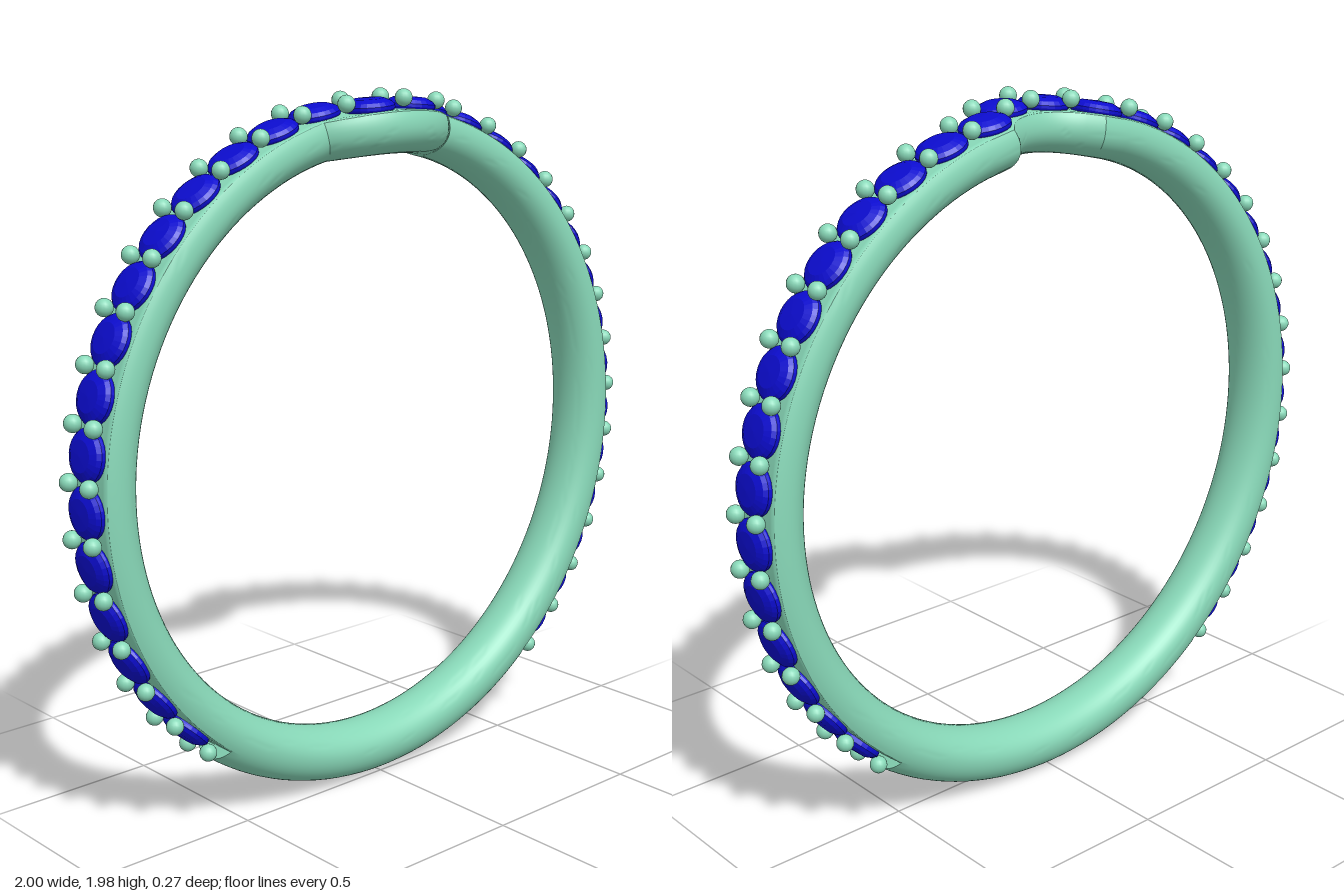
import * as THREE from 'three';
import { toCreasedNormals } from 'three/addons/utils/BufferGeometryUtils.js';

const CY = 0.985;       // height of the ring's centre
const RC = 0.8975;      // radius of the band's core line
const RS = 0.96;        // radius at which arc length s is measured
const Z0 = -0.045;      // plane of the straight band
const HALF = 0.0875;    // half width of the band
const SEAT = 0.0475;    // height of the flat seat above the core line
const BEND = 0.2;       // half length of the wishbone bend
const BR = 0.267;       // radius of the bend
const SEAT_END = THREE.MathUtils.degToRad(142.5) * RS;
const STEP = THREE.MathUtils.degToRad(8.8) * RS;

// Centre line of the band: s along the ring, z sideways, (ns, nz) sideways normal
function frame(s) {
  const a = Math.abs(s);
  if (a > BEND + 1e-6) return { z: Z0, ns: 0, nz: 1 };
  const t = Math.asin(s / BR);
  const z = Z0 + 0.09 - BR + BR * Math.cos(t);
  if (a > BEND - 1e-6) { // mitred corner
    const k = 1 / Math.cos(t / 2);
    return { z, ns: Math.sin(t / 2) * k, nz: 1 };
  }
  return { z, ns: Math.sin(t), nz: Math.cos(t) };
}

// Point at arc length s, sideways offset u and height h over the core line
function place(s, u, h) {
  const f = frame(s);
  const a = (s + u * f.ns) / RS;
  const r = RC + h;
  return new THREE.Vector3(r * Math.sin(a), CY + r * Math.cos(a), f.z + u * f.nz);
}

function bandGeometry() {
  const N = 48;
  const half = []; // cross-sections of one half, [s, seated]
  const tMax = Math.asin(BEND / BR);
  for (let i = 1; i <= 12; i++) half.push([i < 12 ? BR * Math.sin(tMax * i / 12) : BEND, true]);
  for (let i = 0; i <= 56; i++) half.push([THREE.MathUtils.lerp(0.26, SEAT_END, i / 56), true]);
  for (let i = 0; i <= 16; i++) half.push([THREE.MathUtils.lerp(SEAT_END, Math.PI * RS, i / 16), false]);
  const sections = [...half.map(([s, c]) => [-s, c]).reverse(), [0, true], ...half];

  const pos = [], index = [];
  sections.forEach(([s, seated], i) => {
    for (let j = 0; j < N; j++) {
      const t = j / N * Math.PI * 2, c = Math.cos(t);
      let h = c * (c > 0 ? HALF : 0.0725);
      if (seated) h = Math.min(h, SEAT);
      pos.push(...place(s, HALF * Math.sin(t), h).toArray());
      if (i < sections.length - 1) {
        const a = i * N + j, c2 = i * N + (j + 1) % N;
        index.push(a, c2, a + N, c2, c2 + N, a + N);
      }
    }
  });
  const g = new THREE.BufferGeometry();
  g.setAttribute('position', new THREE.Float32BufferAttribute(pos, 3));
  g.setIndex(index);
  return toCreasedNormals(g, 0.55);
}

export function createModel() {
  const ring = new THREE.Group();
  ring.name = 'ring';
  const metal = new THREE.MeshStandardMaterial({ color: 0x88d8b8 });
  const blue = new THREE.MeshStandardMaterial({ color: 0x0c0cd0, flatShading: true });

  const band = new THREE.Mesh(bandGeometry(), metal);
  band.name = 'band';
  ring.add(band);

  // Round cut stone: pavilion, girdle, crown and table
  const stoneGeo = new THREE.LatheGeometry(
    [[0, -0.045], [0.068, -0.002], [0.071, 0.004], [0.071, 0.012], [0.062, 0.022], [0.042, 0.031], [0, 0.033]]
      .map(([x, y]) => new THREE.Vector2(x, y)), 24);
  const beadGeo = new THREE.SphereGeometry(0.024, 16, 12);

  const stones = new THREE.Group();
  stones.name = 'stones';
  const beads = new THREE.Group();
  beads.name = 'beads';
  ring.add(stones, beads);

  const addStone = (s) => {
    const m = new THREE.Mesh(stoneGeo, blue);
    m.name = 'stone';
    m.position.copy(place(s, 0, SEAT));
    m.rotation.z = -s / RS;
    stones.add(m);
  };
  const addBeads = (s) => {
    for (const u of [-0.046, 0.046]) {
      const m = new THREE.Mesh(beadGeo, metal);
      m.name = 'bead';
      m.position.copy(place(s, u, 0.0775));
      beads.add(m);
    }
  };

  // Stones and bead pairs on the bend, then down both shoulders
  addBeads(0);
  const first = THREE.MathUtils.degToRad(16.5) * RS;
  for (const side of [-1, 1]) {
    addStone(side * 0.075);
    addStone(side * BEND);
    addBeads(side * 0.138);
    for (let i = 0; i < 15; i++) {
      addBeads(side * (first + i * STEP));
      if (i < 14) addStone(side * (first + (i + 0.5) * STEP));
    }
  }
  return ring;
}
